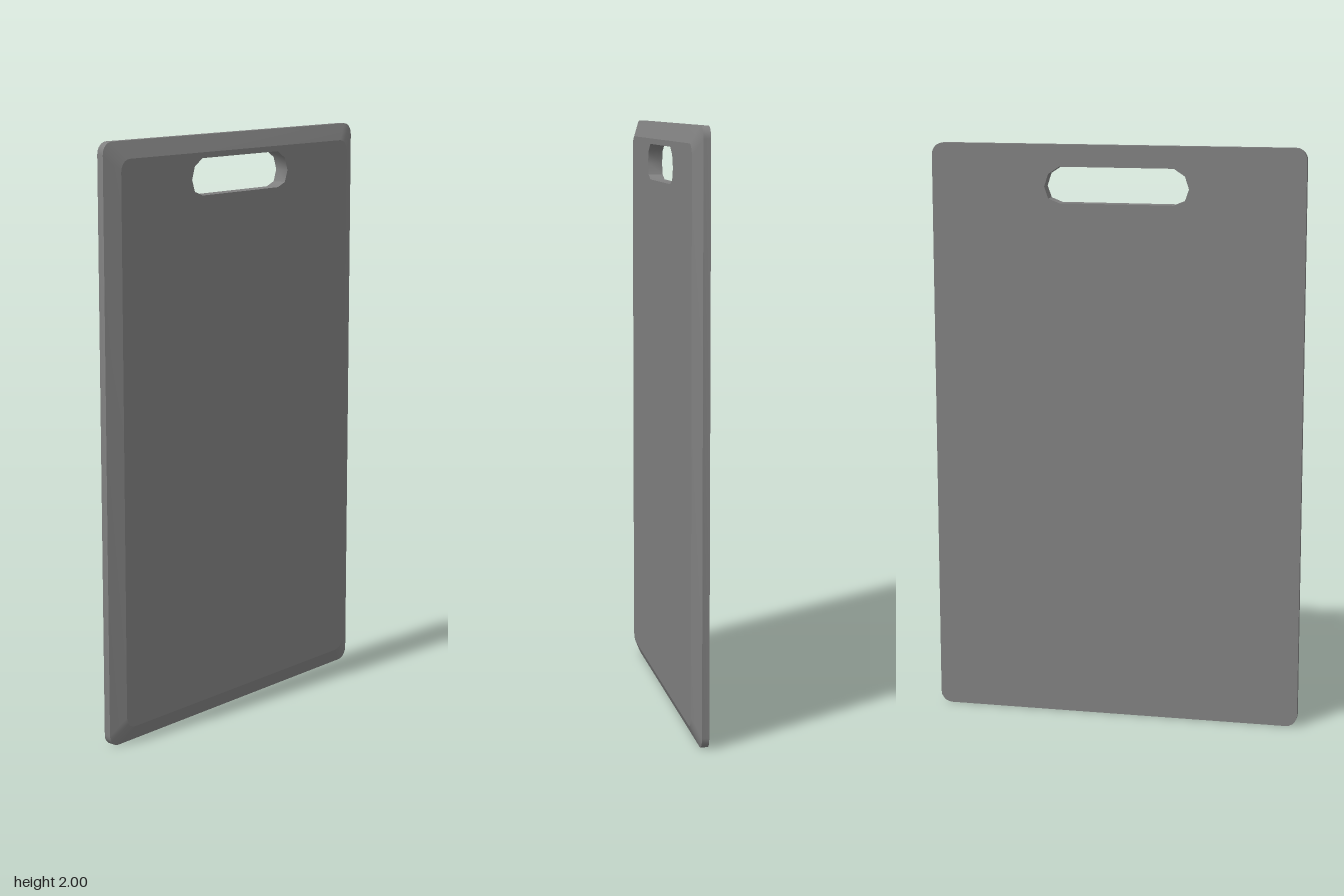
import * as THREE from 'three';
import { mergeGeometries, toCreasedNormals } from 'three/addons/utils/BufferGeometryUtils.js';

const HALF_W = 0.643, HALF_H = 1, BACK = -0.025, MID = -0.001, FRONT = 0.025;
const CORNER = 0.04, INSET = 0.056, SEGMENTS = 5;

// Counter-clockwise rounded rectangle, shrunk by inset on every side
function outline(inset) {
  const points = [];
  const cx = HALF_W - inset - CORNER, cy = HALF_H - inset - CORNER;
  [[1, 1], [-1, 1], [-1, -1], [1, -1]].forEach(([sx, sy], quarter) => {
    for (let i = 0; i <= SEGMENTS; i++) {
      const a = (quarter + i / SEGMENTS) * Math.PI / 2;
      points.push(new THREE.Vector2(sx * cx + CORNER * Math.cos(a), 1 + sy * cy + CORNER * Math.sin(a)));
    }
  });
  return points;
}

// Clockwise handle slot with faceted round ends
function slot() {
  const end = [[0.197, 1.925], [0.235, 1.9], [0.249, 1.857], [0.235, 1.817], [0.197, 1.802]];
  const left = end.map(([x, y]) => [-x, y]).reverse();
  return [...end, ...left].map(([x, y]) => new THREE.Vector2(x, y));
}

// Strip between two matching closed loops, smooth around its bends,
// facing out of a counter-clockwise loop
function wall(loopA, zA, loopB, zB) {
  const position = [];
  loopA.forEach((a, i) => {
    const j = (i + 1) % loopA.length;
    const a2 = loopA[j], b = loopB[i], b2 = loopB[j];
    position.push(a.x, a.y, zA, a2.x, a2.y, zA, b2.x, b2.y, zB);
    position.push(a.x, a.y, zA, b2.x, b2.y, zB, b.x, b.y, zB);
  });
  const geometry = new THREE.BufferGeometry();
  geometry.setAttribute('position', new THREE.Float32BufferAttribute(position, 3));
  return toCreasedNormals(geometry, 0.8);
}

// Flat face with the slot cut through it
function cap(loop, z, facesBack) {
  const shape = new THREE.Shape(loop);
  shape.holes.push(new THREE.Path(slot()));
  const geometry = new THREE.ShapeGeometry(shape).toNonIndexed();
  geometry.deleteAttribute('uv');
  // The outline is symmetric in x, so a half turn makes the back face
  if (facesBack) geometry.rotateY(Math.PI);
  return geometry.translate(0, 0, z);
}

export function createModel() {
  const outer = outline(0), inner = outline(INSET), hole = slot();
  const board = mergeGeometries([
    cap(outer, BACK, true),
    wall(outer, BACK, outer, MID),   // straight rim
    wall(outer, MID, inner, FRONT),  // wide front bevel
    cap(inner, FRONT, false),
    wall(hole, BACK, hole, FRONT),   // inside of the handle slot
  ]);
  const material = new THREE.MeshStandardMaterial({ color: 0x808080 });
  const mesh = new THREE.Mesh(board, material);
  mesh.name = 'cuttingBoard';
  const group = new THREE.Group();
  group.name = 'cuttingBoardModel';
  group.add(mesh);
  return group;
}
